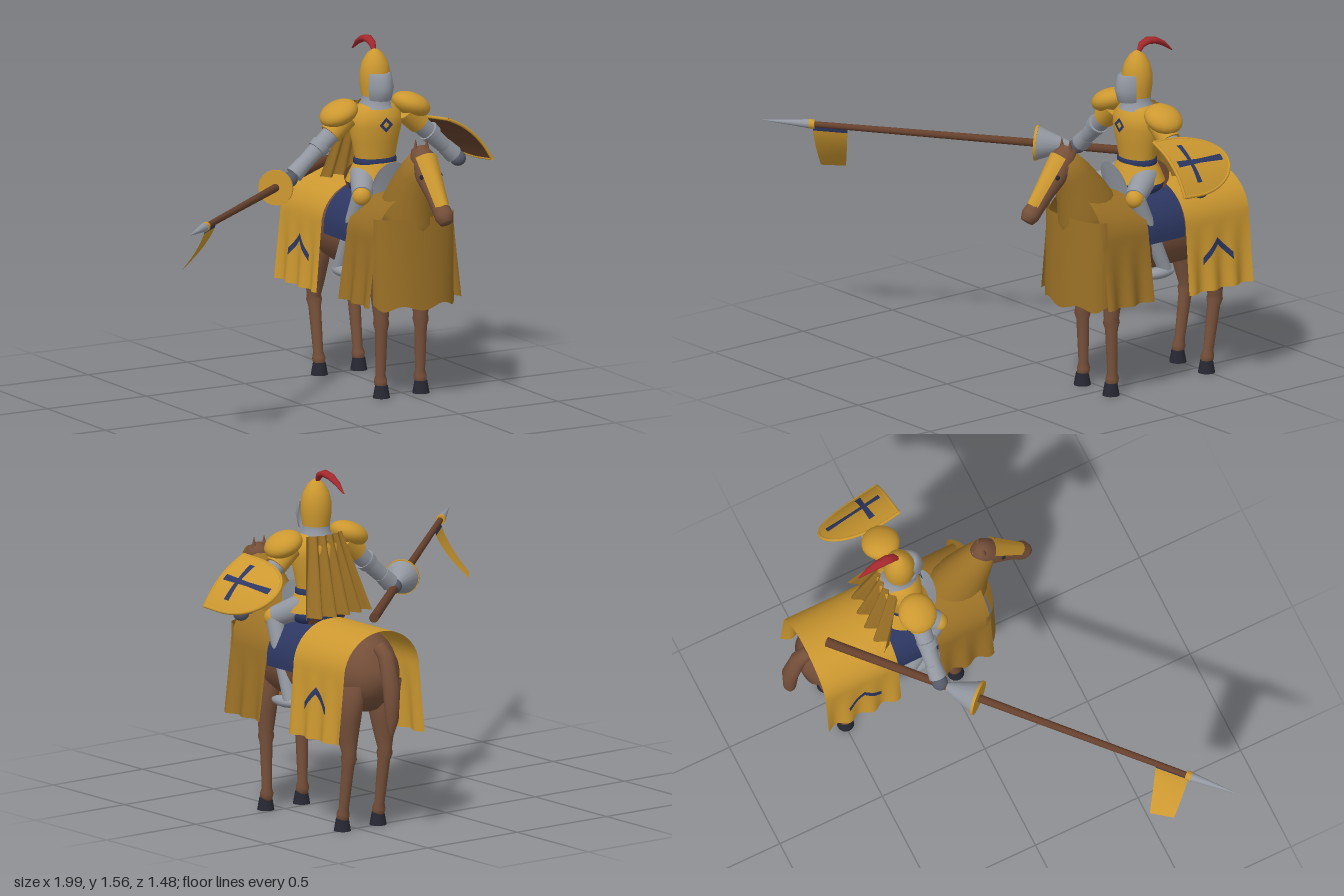
import * as THREE from 'three';

const paint = (name, color) => Object.assign(new THREE.MeshStandardMaterial({ color, side: THREE.DoubleSide }), { name });
const V = (x, y, z) => new THREE.Vector3(x, y, z);
const SIDES = [[-1, 'right'], [1, 'left']];

export function createModel() {
  const gold = paint('gold', 0xcc9830), cloth = paint('dark gold cloth', 0x9a7026);
  const coat = paint('brown coat', 0x76503a), wood = paint('wood', 0x65402c);
  const navy = paint('navy', 0x2d3762), steel = paint('steel', 0x9297a0);
  const glove = paint('dark steel', 0x565a68), hoofMat = paint('hoof', 0x272732), red = paint('red', 0xa3282d);

  const root = new THREE.Group(), horse = new THREE.Group(), rider = new THREE.Group();
  root.name = 'mountedKnight'; horse.name = 'horse'; rider.name = 'rider';
  horse.position.x = rider.position.x = 0.475;
  root.add(horse, rider);

  const add = (parent, name, geo, mat, x = 0, y = 0, z = 0) => {
    const m = new THREE.Mesh(geo, mat);
    m.name = name;
    m.position.set(x, y, z);
    parent.add(m);
    return m;
  };
  // Tapered cylinder between two points
  const rod = (parent, name, a, b, ra, rb, mat) => {
    const d = b.clone().sub(a);
    const m = add(parent, name, new THREE.CylinderGeometry(rb, ra, d.length(), 18), mat);
    m.position.copy(a).lerp(b, 0.5);
    m.quaternion.setFromUnitVectors(V(0, 1, 0), d.normalize());
    return m;
  };
  // Elliptical rings [y, z, rx, rn] along a path in the yz plane, capped at both ends
  const loft = (parent, name, rings, mat, x = 0, n = 20) => {
    const pos = [], idx = [], last = rings.length - 1;
    const ring = (i, k) => {
      const p = rings[Math.max(0, i - 1)], q = rings[Math.min(last, i + 1)], [y, z, rx, rn] = rings[i];
      const l = Math.hypot(q[0] - p[0], q[1] - p[1]), ny = (q[1] - p[1]) / l, nz = (p[0] - q[0]) / l;
      for (let j = 0; j < n; j++) {
        const a = j / n * Math.PI * 2, s = Math.sin(a) * rn * k;
        pos.push(Math.cos(a) * rx * k, y + ny * s, z + nz * s);
      }
    };
    ring(0, 0);
    rings.forEach((_, i) => ring(i, 1));
    ring(last, 0);
    for (let i = 0; i < last + 2; i++) for (let j = 0; j < n; j++) {
      const k = (j + 1) % n, a = i * n + j, b = i * n + k, c = b + n, d = a + n;
      idx.push(a, b, c, a, c, d);
    }
    const g = new THREE.BufferGeometry();
    g.setAttribute('position', new THREE.Float32BufferAttribute(pos, 3));
    g.setIndex(idx);
    g.computeVertexNormals();
    return add(parent, name, g, mat, x);
  };
  // Thin surface from a rule f(u, v), both from 0 to 1
  const sheet = (parent, name, f, mat, nu = 24, nv = 12) => {
    const g = new THREE.PlaneGeometry(1, 1, nu, nv), p = g.attributes.position, uv = g.attributes.uv;
    for (let i = 0; i < p.count; i++) p.setXYZ(i, ...f(uv.getX(i), uv.getY(i)));
    g.computeVertexNormals();
    return add(parent, name, g, mat);
  };
  const lathe = (parent, name, pts, mat, y, z, sz = 1, start = 0, len = Math.PI * 2) => {
    const m = add(parent, name, new THREE.LatheGeometry(pts.map(p => new THREE.Vector2(...p)), 28, start, len), mat, 0, y, z);
    m.scale.z = sz;
    return m;
  };
  const ball = (parent, name, mat, x, y, z, sx, sy, sz) => {
    const m = add(parent, name, new THREE.SphereGeometry(1, 20, 14), mat, x, y, z);
    m.scale.set(sx, sy, sz);
    return m;
  };

  // Horse body, neck cover, head and tail
  loft(horse, 'body', [[.74, -.655, .04, .05], [.73, -.63, .11, .12], [.71, -.54, .17, .18], [.70, -.4, .18, .19], [.69, -.2, .175, .18],
    [.70, -.02, .175, .18], [.72, .1, .15, .17], [.74, .17, .09, .12], [.75, .2, .03, .04]], coat, 0, 28);
  loft(horse, 'neckCover', [[.76, .07, .12, .16], [.84, .1, .115, .145], [.92, .13, .103, .118], [1.02, .185, .08, .088], [1.09, .225, .058, .06]], cloth);
  loft(horse, 'head', [[1.135, .195, .035, .035], [1.1, .22, .054, .058], [1.03, .27, .054, .055], [.96, .335, .044, .044],
    [.905, .38, .038, .04], [.87, .415, .042, .042], [.845, .435, .03, .03]], coat);
  loft(horse, 'tail', [[.83, -.63, .03, .03], [.8, -.675, .036, .035], [.66, -.715, .04, .036], [.52, -.718, .03, .028], [.45, -.712, .008, .012]], coat);
  sheet(horse, 'facePlate', (u, v) => {
    const s = u * 2 - 1, w = .034 + .02 * v, d = .028 * s * s;
    return [s * w, .925 + .205 * v - d * .7, .425 - .145 * v - d * .75];
  }, gold, 10, 6);

  // Horse legs, hooves, ears and eyes
  for (const [s, side] of SIDES) {
    const x = s * .1;
    loft(horse, side + 'FrontLeg', [[.66, .03, .06, .08], [.45, .035, .043, .045], [.35, .04, .032, .034], [.33, .04, .035, .038], [.3, .04, .028, .028],
      [.1, .035, .022, .022], [.075, .035, .029, .03], [.04, .04, .025, .026]], coat, x);
    loft(horse, side + 'HindLeg', [[.66, -.52, .07, .11], [.5, -.53, .055, .068], [.42, -.535, .043, .048], [.35, -.542, .03, .034], [.33, -.54, .034, .038],
      [.3, -.535, .027, .03], [.1, -.505, .022, .023], [.075, -.5, .029, .03], [.04, -.495, .025, .026]], coat, x);
    for (const z of [.042, -.495]) add(horse, side + 'Hoof', new THREE.CylinderGeometry(.028, .038, .056, 16), hoofMat, x, .028, z);
    add(horse, side + 'Ear', new THREE.ConeGeometry(.016, .07, 10), coat, s * .028, 1.15, .215);
    ball(horse, side + 'Eye', hoofMat, s * .048, 1.03, .3, .008, .011, .011);
  }

  // Draped cloths: half ellipse over the back, then a rippled, flaring drop
  const ripple = z => .012 * Math.sin(z * 55);
  const drape = (r, base, top, hem, flare, z0, z1, lift = 0) => (u, v) => {
    const s = u * 2 - 1, a = Math.abs(s), z = z0 + (z1 - z0) * v, t = Math.max(0, a * 2 - 1);
    if (a <= .5) return [r * Math.sin(s * Math.PI), base + (top + lift * v - base) * Math.cos(s * Math.PI), z];
    return [Math.sign(s) * (r + t * (flare + (flare && ripple(z)))), base + (hem - base) * t, z];
  };
  sheet(horse, 'rearDrape', drape(.21, .72, .905, .42, .022, -.645, -.29), gold, 48, 30);
  sheet(horse, 'frontDrape', drape(.2, .72, .895, .435, .03, -.09, .165, .035), cloth, 48, 24);
  sheet(horse, 'saddleCloth', drape(.192, .71, .9, .68, 0, -.3, -.08), navy, 48, 4);
  sheet(horse, 'chestDrape', (u, v) => {
    const a = (u - .5) * Math.PI, h = 1 - v;
    return [.2 * Math.sin(a), .83 - .4 * v - .012 * v * Math.cos(a * 6), .14 + (.085 + .022 * v) * Math.cos(a) + .004 * h];
  }, cloth, 32, 8);
  // Chevrons on the rear drape
  for (const [s, side] of SIDES) for (const d of [-1, 1]) sheet(horse, side + 'Chevron', (u, v) => {
    const z = -.46 + d * .08 * u, y = .653 - .08 * u - .032 * v, t = (.72 - y) / .3;
    return [s * (.215 + t * (.022 + ripple(z))), y, z];
  }, navy, 8, 3);

  // Saddle
  ball(horse, 'saddleSeat', navy, 0, .91, -.19, .12, .06, .11);
  const arch = (z, h, w, lean) => (u, v) => {
    const a = (u - .5) * Math.PI;
    return [w * Math.sin(a), .88 + h * v * (.4 + .6 * Math.cos(a)), z + lean * v - .03 * (1 - Math.cos(a)) * Math.sign(lean)];
  };
  sheet(horse, 'saddlePommel', arch(-.055, .15, .085, .03), steel, 16, 4);
  sheet(horse, 'saddleCantle', arch(-.28, .1, .1, -.03), wood, 16, 4);

  // Rider torso, collar and skirt
  const cz = -.185;
  lathe(rider, 'breastplate', [[.085, .97], [.093, 1.02], [.108, 1.1], [.124, 1.17], [.12, 1.22], [.085, 1.26], [.045, 1.28]], gold, 0, cz, .76);
  lathe(rider, 'armourSkirt', [[.135, .925], [.115, .97], [.095, 1.01]], gold, 0, cz, .85);
  lathe(rider, 'belt', [[.094, .995], [.1, 1.005], [.1, 1.02], [.096, 1.03]], navy, 0, cz, .8);
  lathe(rider, 'collar', [[.08, 1.25], [.06, 1.28], [.06, 1.31]], steel, 0, cz);
  add(rider, 'chestDiamond', new THREE.RingGeometry(.016, .034, 4), navy, 0, 1.185, cz + .1);

  // Helmet, visor and plume
  lathe(rider, 'helmet', [[.058, 1.29], [.067, 1.35], [.068, 1.405], [.057, 1.452], [.034, 1.49], [.012, 1.507], [0, 1.51]], gold, 0, cz);
  lathe(rider, 'visor', [[.05, 1.288], [.062, 1.29], [.071, 1.345], [.062, 1.408], [.05, 1.41]], steel, 0, cz, 1.58, -1.08, 2.16);
  loft(rider, 'plume', [[1.495, -.19, .008, .008], [1.53, -.21, .018, .014], [1.543, -.245, .022, .016], [1.535, -.29, .02, .015],
    [1.512, -.335, .014, .011], [1.475, -.38, .003, .003]], red, 0, 14);

  // Pleated cape
  sheet(rider, 'cape', (u, v) => {
    const s = u * 2 - 1, d = 1 - v;
    return [s * (.1 + .085 * d), 1.27 - .345 * d, -.265 - .085 * d + .02 * (.3 + d) * Math.cos(s * Math.PI * 5) + .03 * s * s];
  }, cloth, 40, 8);

  // Arms and legs
  for (const [s, side] of SIDES) {
    const at = (x, y, z) => V(s * x, y, z);
    ball(rider, side + 'Pauldron', gold, s * .183, 1.24, cz, .09, .052, .085).rotation.z = -s * .4;
    rod(rider, side + 'UpperArm', at(.15, 1.22, cz), at(.225, 1.15, cz), .055, .05, gold);
    rod(rider, side + 'Forearm', at(.2, 1.17, cz), at(.385, 1.005, cz - .01), .043, .033, steel);
    rod(rider, side + 'ElbowBand', at(.27, 1.11, cz), at(.295, 1.088, cz), .047, .044, steel);
    rod(rider, side + 'Cuff', at(.355, 1.032, cz - .01), at(.405, .987, cz - .01), .036, .04, steel);
    ball(rider, side + 'Gauntlet', glove, s * .427, .968, cz - .01, .036, .034, .036);
    rod(rider, side + 'Thigh', at(.06, .95, cz), at(.135, .89, -.065), .06, .045, steel);
    ball(rider, side + 'Knee', gold, s * .14, .885, -.06, .042, .042, .04);
    rod(rider, side + 'Shin', at(.14, .88, -.07), at(.165, .54, -.21), .04, .03, steel);
    ball(rider, side + 'Foot', steel, s * .168, .532, -.175, .033, .025, .082);
  }

  // Shield: a curved plate, s across, v from the flat end to the point
  const O = V(.885, 1.095, -.045), E = V(.845, 1.065, -.38), across = V(.74, -.67, 0);
  const out = across.clone().cross(E.clone().sub(O)).normalize();
  if (out.x < 0) out.negate();
  const onShield = (s, v, off) => O.clone().lerp(E, v).addScaledVector(across, s)
    .addScaledVector(out, .028 * (1 - (s / .15) ** 2) - .014 + off).toArray();
  const half = v => .15 * Math.sqrt(Math.max(0, 1 - (Math.max(0, v - .25) / .75) ** 2));
  const plate = (name, mat, off) => sheet(root, name, (u, v) => onShield((u * 2 - 1) * half(1 - v * v), 1 - v * v, off), mat, 16, 28);
  plate('shieldFace', gold, .004);
  plate('shieldBack', wood, -.004);
  const rim = [];
  for (let i = -14; i <= 14; i++) {
    const v = 1 - (i / 14) ** 2;
    rim.push(V(...onShield(Math.sign(i) * half(v), v, 0)));
  }
  add(root, 'shieldRim', new THREE.TubeGeometry(new THREE.CatmullRomCurve3(rim), 80, .007, 8), gold);
  const topEdge = [-1, -.5, 0, .5, 1].map(k => V(...onShield(k * .15, 0, 0)));
  add(root, 'shieldTopRim', new THREE.TubeGeometry(new THREE.CatmullRomCurve3(topEdge), 16, .007, 8), gold);
  sheet(root, 'shieldCrossLong', (u, v) => onShield((u - .5) * (.022 + .02 * Math.abs(v - .5)), .08 + .81 * v, .009), navy, 2, 12);
  sheet(root, 'shieldCrossShort', (u, v) => onShield((u - .5) * .2, .32 + (v - .5) * (.06 + .05 * Math.abs(u - .5)), .009), navy, 12, 2);

  // Lance with hand guard, spike and pennant
  const butt = V(.445, .944, -.553), tip = V(-1, 1.013, .73), along = t => butt.clone().lerp(tip, t);
  rod(root, 'lanceShaft', along(0), along(.9), .021, .013, wood);
  rod(root, 'lanceGuard', along(.295), along(.368), .02, .076, steel);
  rod(root, 'lanceGuardRim', along(.367), along(.373), .079, .079, gold);
  rod(root, 'lanceCollar', along(.88), along(.893), .021, .021, gold);
  rod(root, 'lanceSpike', along(.893), along(1), .02, .001, steel);
  const a0 = along(.885), b0 = along(.805), a1 = V(-.908, .78, .475), b1 = V(-.84, .775, .39);
  const flag = (from, to) => (u, v) => {
    const k = from + (to - from) * v, p = a0.clone().lerp(b0, u), q = a1.clone().lerp(b1, u), c = k ** 1.5;
    return [p.x + (q.x - p.x) * c, p.y + (q.y - p.y) * k, p.z + (q.z - p.z) * c];
  };
  sheet(root, 'pennantBand', flag(0, .14), navy, 6, 4);
  sheet(root, 'pennant', flag(.14, 1), gold, 6, 14);
  return root;
}
